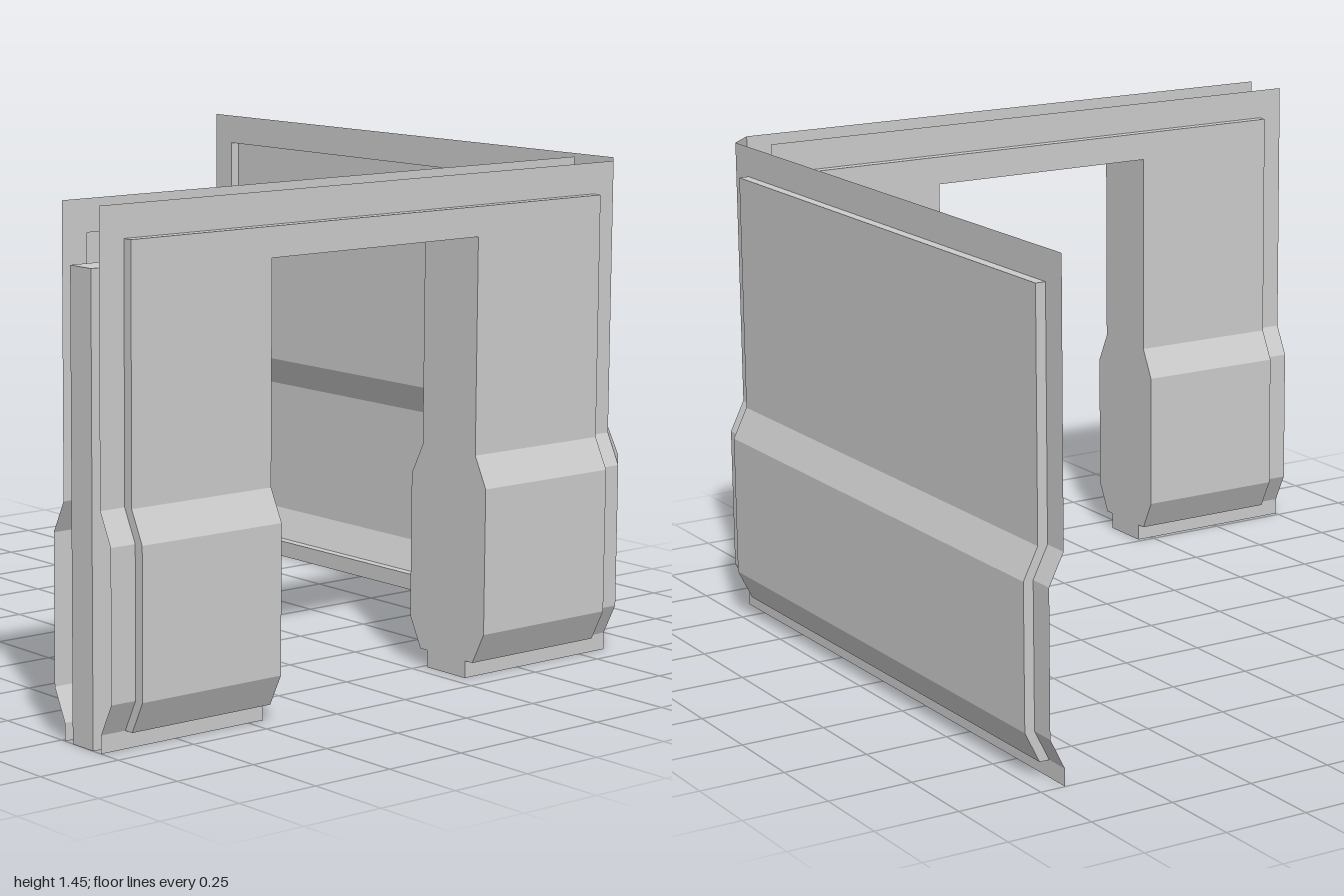
import * as THREE from 'three';

const material = new THREE.MeshStandardMaterial({ color: 0xcccccc, flatShading: true, side: THREE.DoubleSide });
const TOP = 1.445, RAISE = 0.03;
const FRONT = 0.925, BACK = 0.765;            // base planes of the skins
const U0 = -1, U1 = 0.85;                     // ends of each wall
const P0 = -0.92, P1 = 0.77, PB = 0.05, PT = 1.355; // raised panel limits
const D0 = -0.45, D1 = 0.295, DT = 1.27;      // doorway limits
const PROFILE = [[0, 0], [0.05, 0], [0.14, 0.045], [0.56, 0.045], [0.65, 0], [TOP, 0]];

// Rows of the bulging skirt profile between two heights
function rows(y0, y1) {
  const inner = PROFILE.filter(([y]) => y > y0 && y < y1);
  const flat = (y) => [y, 0];
  return [flat(y0), ...inner, flat(y1)];
}

// Ruled surface between two matching point lists
function strip(a, b) {
  const pos = [];
  for (let i = 0; i < a.length - 1; i++) {
    pos.push(...a[i], ...b[i], ...b[i + 1], ...a[i], ...b[i + 1], ...a[i + 1]);
  }
  return pos;
}

function mesh(name, parts) {
  const geo = new THREE.BufferGeometry();
  geo.setAttribute('position', new THREE.Float32BufferAttribute(parts.flat(), 3));
  geo.computeVertexNormals();
  const m = new THREE.Mesh(geo, material);
  m.name = name;
  return m;
}

// One wall skin; map(u, y, d) places distance along, height and outward depth
function wallSkin(name, map, hasDoor) {
  const patch = (u0, u1, y0, y1, r) => {
    const rs = rows(y0, y1);
    return strip(rs.map(([y, d]) => map(u0, y, d + r)), rs.map(([y, d]) => map(u1, y, d + r)));
  };
  const sideRim = (u) => {
    const rs = rows(PB, PT);
    return strip(rs.map(([y, d]) => map(u, y, d)), rs.map(([y, d]) => map(u, y, d + RAISE)));
  };
  const flatRim = (u0, u1, y) => strip([map(u0, y, 0), map(u0, y, RAISE)], [map(u1, y, 0), map(u1, y, RAISE)]);
  const spans = hasDoor ? [[P0, D0], [D1, P1]] : [[P0, P1]];

  const border = [patch(U0, P0, 0, TOP, 0), patch(P1, U1, 0, TOP, 0), patch(P0, P1, PT, TOP, 0)];
  const panel = [];
  const rim = [sideRim(P0), sideRim(P1), flatRim(P0, P1, PT)];
  for (const [a, b] of spans) {
    border.push(patch(a, b, 0, PB, 0));
    panel.push(patch(a, b, PB, PT, RAISE));
    rim.push(flatRim(a, b, PB));
  }
  if (hasDoor) panel.push(patch(D0, D1, DT, PT, RAISE));

  const g = new THREE.Group();
  g.name = name;
  g.add(mesh('border', border), mesh('raisedPanel', panel), mesh('panelRim', rim));
  return g;
}

export function createModel() {
  const model = new THREE.Group();
  model.name = 'cornerWallWithDoorway';

  // Outer and inner skins of the doorway wall, and the plain side wall
  model.add(
    wallSkin('frontSkin', (u, y, d) => [u, y, FRONT + d], true),
    wallSkin('innerSkin', (u, y, d) => [u, y, BACK - d], true),
    wallSkin('sideWall', (u, y, d) => [FRONT + d, y, u], false),
  );

  // Chamfered corner joining the two outer skins
  const full = rows(0, TOP);
  model.add(mesh('cornerChamfer', [strip(
    full.map(([y, d]) => [U1, y, FRONT + d]),
    full.map(([y, d]) => [FRONT + d, y, U1]),
  )]));

  // Door jambs and lintel spanning the wall thickness
  const jamb = (x) => [[0, PB, 0], [PB, DT, RAISE]].flatMap(([y0, y1, r]) => {
    const rs = rows(y0, y1);
    return strip(rs.map(([y, d]) => [x, y, BACK - d - r]), rs.map(([y, d]) => [x, y, FRONT + d + r]));
  });
  model.add(mesh('rightJamb', [jamb(D0)]), mesh('leftJamb', [jamb(D1)]));
  const z0 = BACK - RAISE, z1 = FRONT + RAISE;
  model.add(mesh('lintel', [strip([[D0, DT, z0], [D0, DT, z1]], [[D1, DT, z0], [D1, DT, z1]])]));

  // Solid core between the skins, with the doorway left open
  const e = 0.004;
  const outline = [[-1, 0], [D0 - e, 0], [D0 - e, DT + e], [D1 + e, DT + e], [D1 + e, 0], [0.835, 0], [0.835, 1.28], [-1, 1.28]];
  const shape = new THREE.Shape(outline.map(([x, y]) => new THREE.Vector2(x, y)));
  const core = new THREE.Mesh(new THREE.ExtrudeGeometry(shape, { depth: 0.09, bevelEnabled: false }), material);
  core.name = 'wallCore';
  core.position.z = 0.8;
  model.add(core);

  return model;
}
